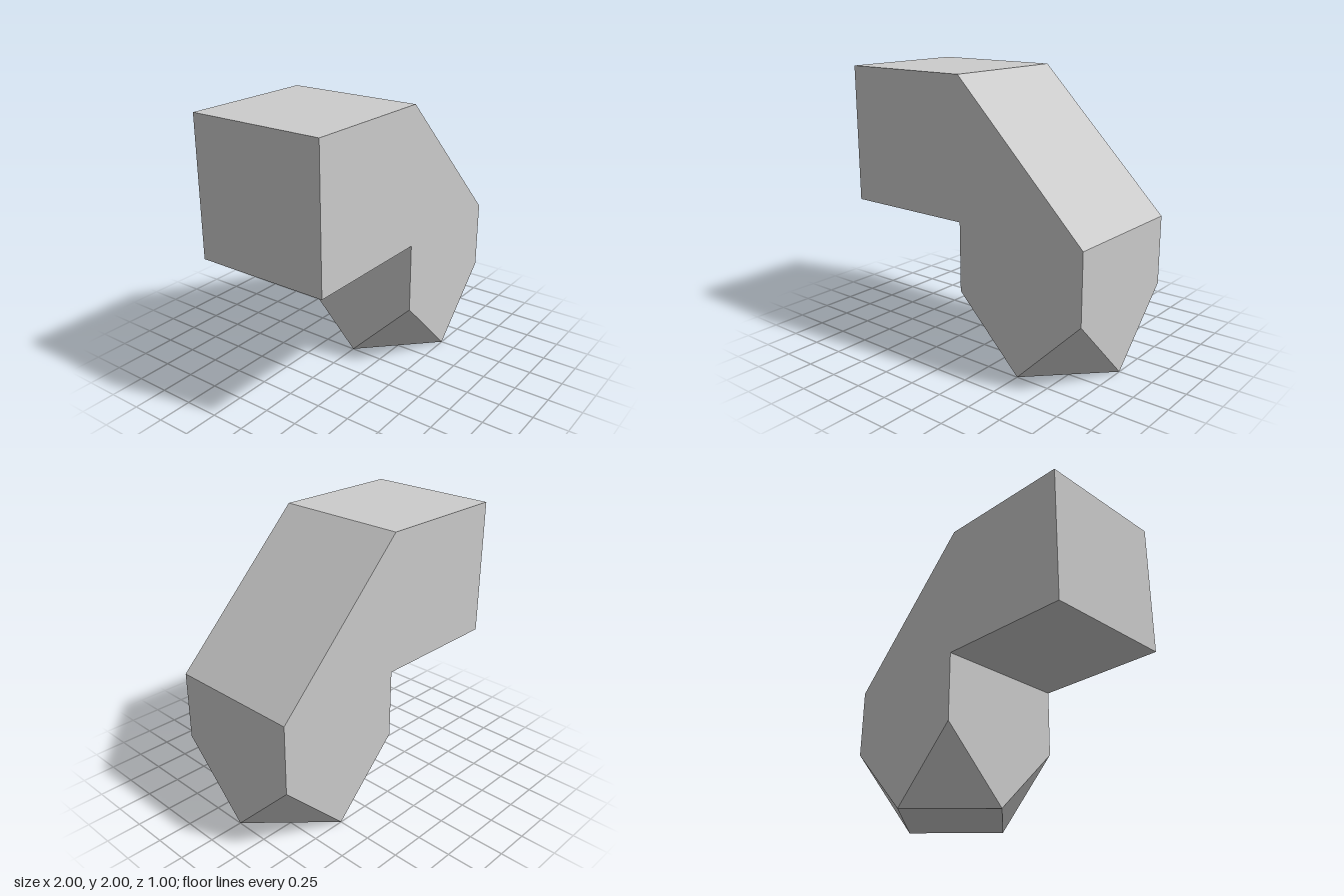
import * as THREE from 'three';

// Flat faces from convex (or star-shaped) loops, each fanned from its first corner.
function facesToGeometry(faces) {
  const pos = [];
  for (const f of faces)
    for (let i = 1; i < f.length - 1; i++) pos.push(...f[0], ...f[i], ...f[i + 1]);
  const geo = new THREE.BufferGeometry();
  geo.setAttribute('position', new THREE.Float32BufferAttribute(pos, 3));
  geo.computeVertexNormals();
  return geo;
}

export function createModel() {
  const group = new THREE.Group();
  group.name = 'elbowBlock';
  const material = new THREE.MeshStandardMaterial({ color: 0xcccccc, flatShading: true });
  const addPart = (name, faces) => {
    const mesh = new THREE.Mesh(facesToGeometry(faces), material);
    mesh.name = name;
    group.add(mesh);
  };
  const D = 0.5; // half depth

  // Side outline, counter-clockwise, starting at the inner corner
  const outline = [[0, 1], [0, 0.5], [0.5, 0], [1, 0.5], [1, 1], [0, 2], [-1, 2], [-1, 1]];
  const front = outline.map(([x, y]) => [x, y, D]);
  const back = outline.map(([x, y]) => [x, y, -D]);

  // Bent body: front, back, bevel, top, end and underside
  const body = [front, [back[0], ...back.slice(1).reverse()]];
  for (let i = 4; i < 8; i++) {
    const j = (i + 1) % 8;
    body.push([front[i], back[i], back[j], front[j]]);
  }
  // Pointed leg walls, inner and outer
  body.push([front[0], back[0], back[1], [0, 0, 0], front[1]]);
  body.push([front[4], front[3], [1, 0, 0], back[3], back[4]]);
  addPart('body', body);

  // Foot: four cut corners and a diamond sole
  const foot = [[[0, 0, 0], [0.5, 0, -D], [1, 0, 0], [0.5, 0, D]]];
  for (const sx of [-1, 1])
    for (const sz of [-1, 1]) {
      const x = 0.5 + 0.5 * sx;
      const tri = [[x, 0.5, sz * D], [x, 0, 0], [0.5, 0, sz * D]];
      foot.push(sx * sz < 0 ? tri : tri.reverse());
    }
  addPart('foot', foot);
  return group;
}
